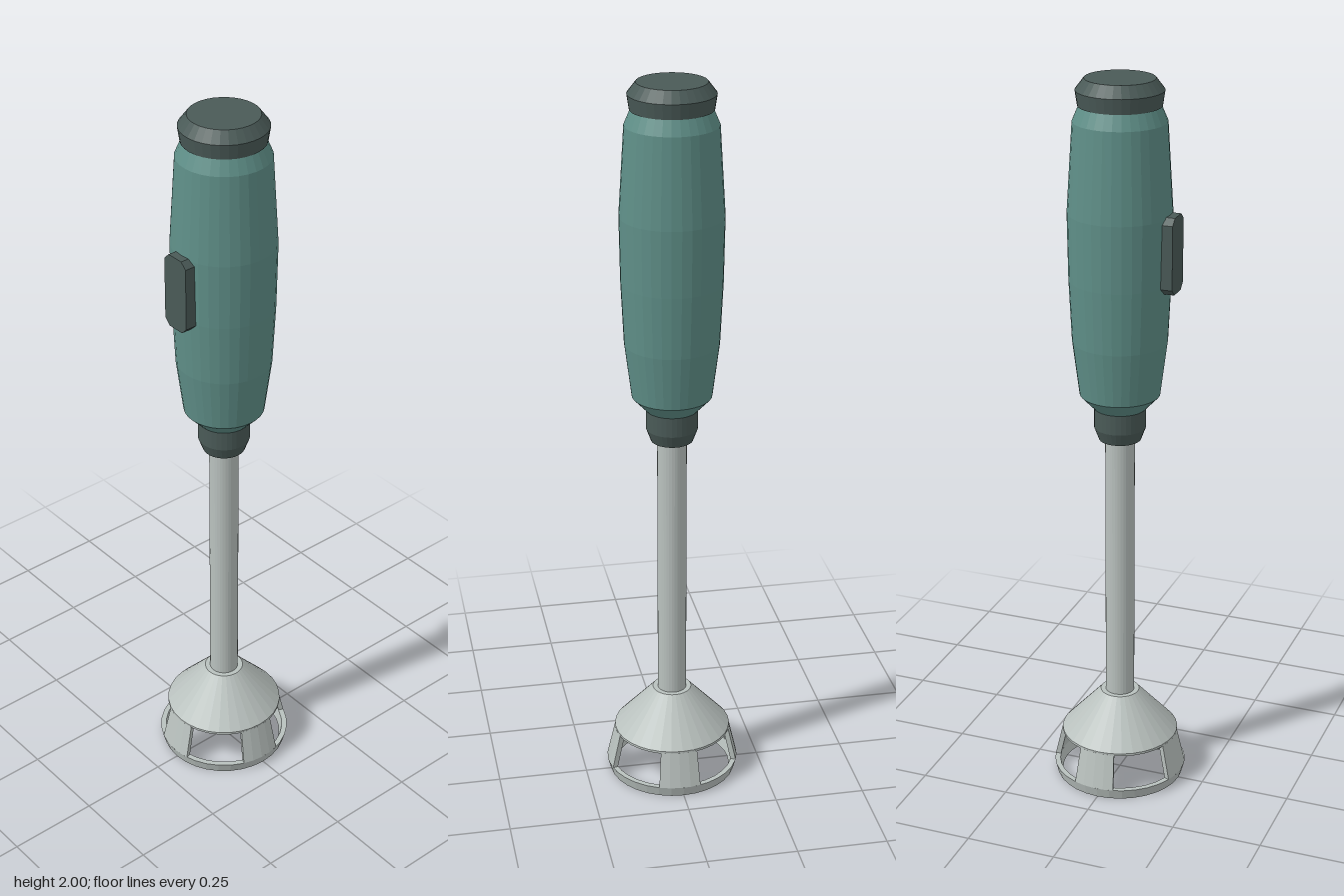
import * as THREE from 'three';

const SIDES = 32;
const paint = (color) => new THREE.MeshStandardMaterial({ color, flatShading: true, side: THREE.DoubleSide });

export function createModel() {
  const model = new THREE.Group();
  const teal = paint(0x5f8f88);
  const dark = paint(0x4a5a57);
  const steel = paint(0xb9c1be);

  const add = (name, geometry, material, parent = model) => {
    const mesh = new THREE.Mesh(geometry, material);
    mesh.name = name;
    parent.add(mesh);
    return mesh;
  };
  const points = (list) => list.map(([r, y]) => new THREE.Vector2(r, y));
  // Turned part: profile of [radius, y] running upwards on the outside
  const turned = (name, profile, material, parent) =>
    add(name, new THREE.LatheGeometry(points(profile), SIDES), material, parent);

  // Handle, end cap, collar and shaft
  turned('handle', [[0, 1.11], [0.07, 1.11], [0.108, 1.15], [0.127, 1.3], [0.135, 1.47], [0.138, 1.65],
    [0.123, 1.89], [0.106, 1.93], [0, 1.93]], teal);
  turned('endCap', [[0, 1.925], [0.109, 1.93], [0.115, 1.97], [0.092, 2], [0, 2]], dark);
  turned('collar', [[0, 1.02], [0.057, 1.02], [0.07, 1.055], [0.07, 1.11], [0, 1.11]], dark);
  turned('shaft', [[0, 0.24], [0.04, 0.24], [0.04, 1.03], [0, 1.03]], steel);

  // Power button: upright plate with cut corners
  const w = 0.042, h = 0.103, c = 0.017;
  const outline = points([[-w, c - h], [c - w, -h], [w - c, -h], [w, c - h],
    [w, h - c], [w - c, h], [c - w, h], [-w, h - c]]);
  const button = add('powerButton',
    new THREE.ExtrudeGeometry(new THREE.Shape(outline), { depth: 0.05, bevelEnabled: false }), dark);
  button.position.set(0, 1.553, 0.109);

  // Blade guard: hollow bell, bottom rim and four pillars between the windows
  const guard = new THREE.Group();
  guard.name = 'bladeGuard';
  model.add(guard);
  turned('bell', [[0, 0.255], [0.04, 0.235], [0.148, 0.128], [0.163, 0.128], [0.163, 0.135],
    [0.054, 0.255], [0, 0.255]], steel, guard);
  turned('rim', [[0.163, 0], [0.178, 0], [0.186, 0.03], [0.171, 0.03], [0.163, 0]], steel, guard);

  const wall = points([[0.171, 0.03], [0.186, 0.03], [0.163, 0.13], [0.148, 0.13], [0.171, 0.03]]);
  const span = THREE.MathUtils.degToRad(36.5);
  const cap = new THREE.ShapeGeometry(new THREE.Shape(wall.slice(0, 4)));
  for (let i = 0; i < 4; i++) {
    const pillar = new THREE.Group();
    pillar.name = 'pillar';
    pillar.rotation.y = i * Math.PI / 2 - THREE.MathUtils.degToRad(3.5);
    guard.add(pillar);
    add('pillarWall', new THREE.LatheGeometry(wall, 4, -span / 2, span), steel, pillar);
    for (const side of [-1, 1])
      add('pillarSide', cap, steel, pillar).rotation.y = side * span / 2 - Math.PI / 2;
  }

  // Spindle, hub and four flat blades
  const cutter = new THREE.Group();
  cutter.name = 'cutter';
  model.add(cutter);
  turned('spindle', [[0, 0.08], [0.014, 0.08], [0.014, 0.25], [0, 0.25]], steel, cutter);
  turned('hub', [[0, 0.075], [0.026, 0.075], [0.026, 0.108], [0, 0.108]], steel, cutter);
  for (let i = 0; i < 4; i++) {
    const blade = add('blade', new THREE.BoxGeometry(0.11, 0.012, 0.03).translate(0.068, 0.092, 0), steel, cutter);
    blade.rotation.y = i * Math.PI / 2;
  }
  return model;
}
